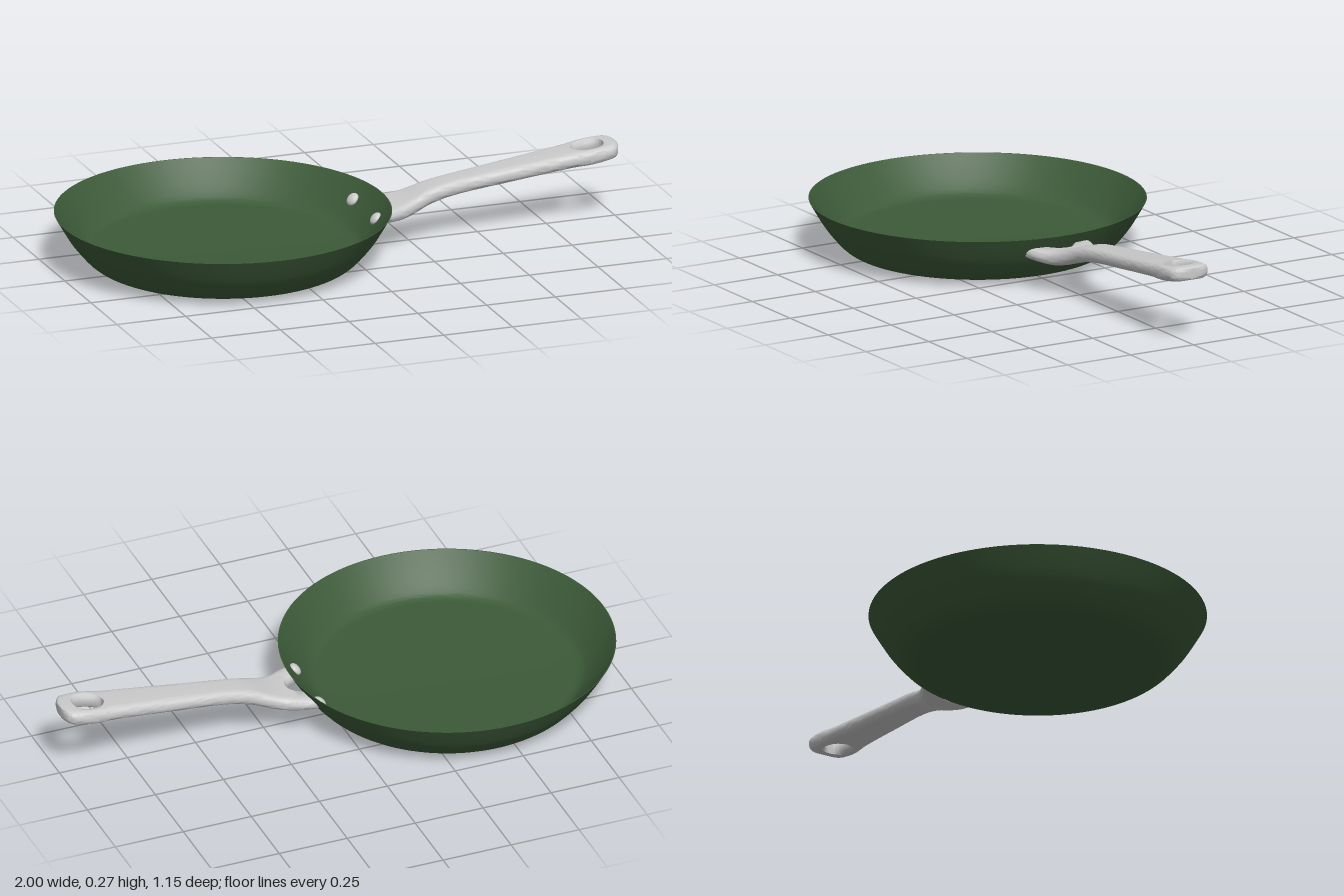
import * as THREE from 'three';
import { mergeGeometries, toCreasedNormals } from 'three/addons/utils/BufferGeometryUtils.js';

const PAN_X = -0.425; // axis of the pan
const grey = new THREE.MeshStandardMaterial({ color: 0xcccccc });
const green = new THREE.MeshStandardMaterial({ color: 0x3c5a38 });

// Outer radius of the flared wall at height y
const wallRadius = (y) => 0.525 + 0.6 * (y - 0.1);

// Thick-based pan: outer skin, then the raised cooking surface
function panGeometry() {
  const curve = (pts) => new THREE.SplineCurve(pts.map((p) => new THREE.Vector2(...p))).getPoints(28);
  const outer = curve([[0.36, 0.004], [0.4, 0.007], [0.44, 0.015], [0.47, 0.035], [0.5, 0.068], [0.525, 0.1], [0.55, 0.14], [0.576, 0.185]]);
  const inner = curve([[0.573, 0.185], [0.547, 0.152], [0.52, 0.12], [0.492, 0.09], [0.468, 0.069], [0.45, 0.061], [0.43, 0.059], [0.36, 0.058]]);
  const profile = [new THREE.Vector2(0, 0), ...outer, ...inner, new THREE.Vector2(0, 0.058)];
  return toCreasedNormals(new THREE.LatheGeometry(profile, 96), 0.7);
}

// Handle stations: x, then half width, height of the top face, thickness
const stations = [
  [0.08, 0.128, 0.148, 0.04], [0.14, 0.118, 0.148, 0.043], [0.2, 0.092, 0.152, 0.05],
  [0.25, 0.075, 0.166, 0.054], [0.3, 0.063, 0.185, 0.055], [0.35, 0.058, 0.198, 0.054],
  [0.4, 0.056, 0.206, 0.052], [0.6, 0.062, 0.231, 0.052], [0.8, 0.07, 0.255, 0.052],
  [0.9, 0.077, 0.266, 0.052], [1, 0.074, 0.278, 0.052],
];
const handleShape = new THREE.CubicInterpolant(
  stations.map((s) => s[0]), stations.flatMap((s) => s.slice(1)), 3, new Float32Array(3));

// Inner edge of each half: fork notch at the pan, hanging hole near the tip
function innerEdge(x) {
  if (x < 0.17) return 0.065 * Math.sqrt((0.17 - x) / 0.09);
  const v = (x - 0.8975) / 0.0575;
  return Math.abs(v) < 1 ? 0.039 * Math.sqrt(1 - v * v) * (1 + 0.15 * v) : 0;
}

// Cross-section of one half of the handle, as [z, y] pairs
function section(x) {
  let [zo, top, thickness] = handleShape.evaluate(x);
  const u = Math.max(0, (x - 0.945) / 0.055);
  const zi = innerEdge(x);
  zo *= Math.cbrt(Math.max(0, 1 - u ** 3));
  const mid = top - thickness / 2;
  const h = (thickness / 2) * (1 - 0.3 * u ** 4);
  const e = Math.min(0.01, zi * 0.4);
  const r = Math.min(0.03, (zo - zi) * 0.5);
  const pts = [[zi, mid + h - e], [zi, mid - h + e], [zi + e, mid - h]];
  for (let i = 0; i <= 12; i++) {
    const a = (i / 12 - 0.5) * Math.PI;
    const s = Math.sin(a), c = Math.max(0, Math.cos(a));
    pts.push([zo - r + r * c ** 0.8, mid + h * Math.sign(s) * Math.abs(s) ** 0.8]);
  }
  pts.push([zi + e, mid + h]);
  return pts;
}

// Half a handle lofted through its sections; side is 1 or -1
function halfHandle(side) {
  const xs = [];
  for (const [a, b, n] of [[0.08, 0.17, 16], [0.17, 0.84, 36], [0.84, 0.955, 24], [0.955, 1, 14]]) {
    for (let i = xs.length ? 1 : 0; i <= n; i++) xs.push(a + (b - a) * (1 - Math.cos((Math.PI * i) / n)) / 2);
  }
  const pos = [], index = [];
  let n = 0;
  xs.forEach((x, k) => {
    const pts = section(x);
    n = pts.length;
    pts.forEach(([z, y], j) => {
      // Seat the fork against the curved wall
      const wall = PAN_X + Math.sqrt(wallRadius(y) ** 2 - z * z) - 0.003;
      pos.push(Math.max(x, wall), y, z * side);
      if (k === 0) return;
      const a = (k - 1) * n + j, b = (k - 1) * n + ((j + 1) % n);
      const c = a + n, d = b + n;
      if (side > 0) index.push(a, c, b, b, c, d);
      else index.push(a, b, c, b, d, c);
    });
  });
  const g = new THREE.BufferGeometry();
  g.setAttribute('position', new THREE.Float32BufferAttribute(pos, 3));
  g.setIndex(index);
  return g;
}

export function createModel() {
  const group = new THREE.Group();
  const add = (name, geometry, material) => {
    const mesh = new THREE.Mesh(geometry, material);
    mesh.name = name;
    group.add(mesh);
    return mesh;
  };

  add('pan', panGeometry(), green).position.x = PAN_X;

  const handle = mergeGeometries([halfHandle(1), halfHandle(-1)]);
  add('handle', toCreasedNormals(handle, 0.9), grey);

  // Rivet heads on the inside of the wall
  for (const side of [1, -1]) {
    const rivet = add(side > 0 ? 'leftRivet' : 'rightRivet', new THREE.SphereGeometry(0.024, 24, 16), grey);
    rivet.scale.set(0.6, 1, 1);
    rivet.position.set(0.088, 0.13, side * 0.11);
    rivet.rotation.set(0, -side * 0.21, -0.73, 'YZX');
  }
  return group;
}
